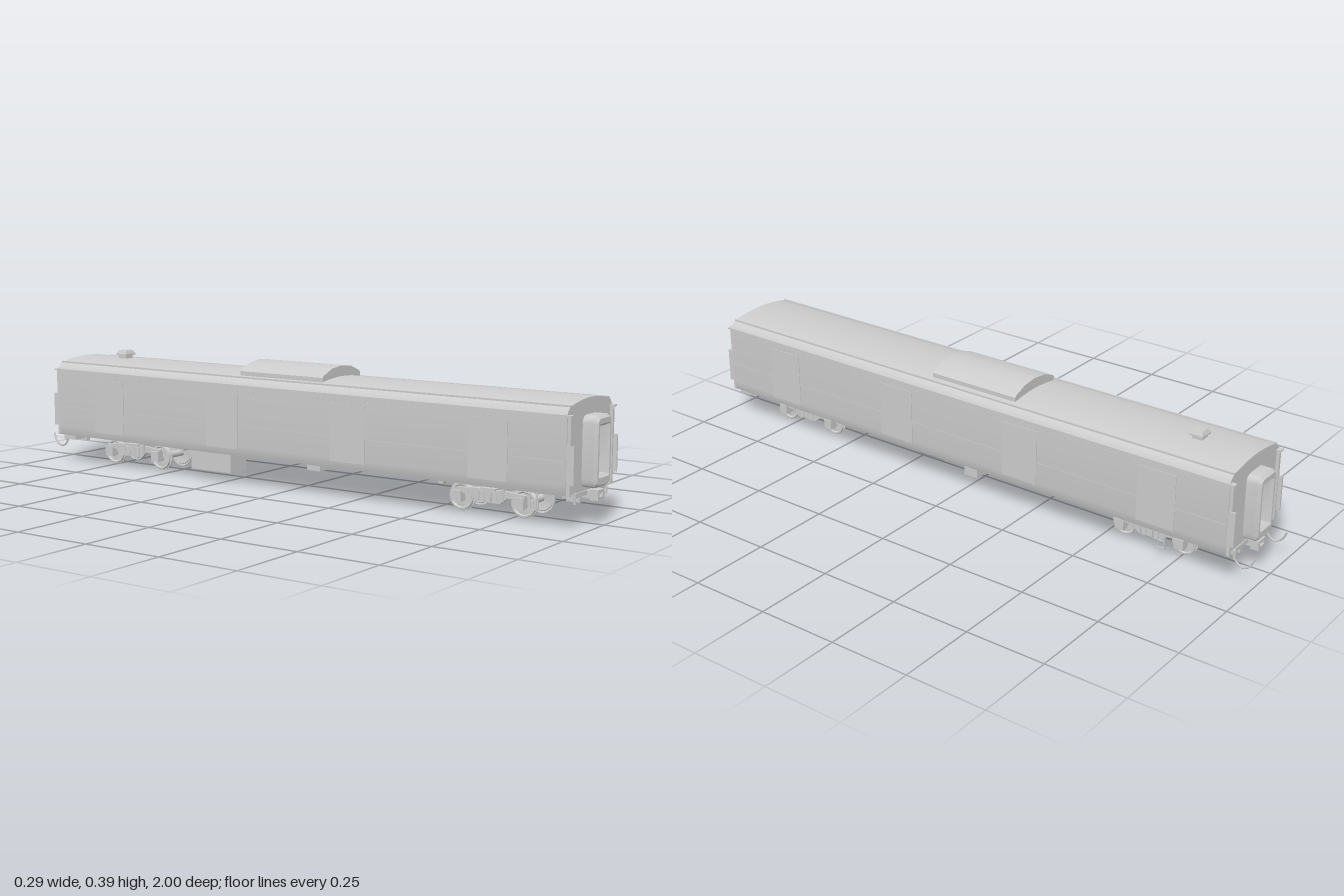
import * as THREE from 'three';
import { toCreasedNormals, mergeGeometries } from 'three/addons/utils/BufferGeometryUtils.js';

const grey = new THREE.MeshStandardMaterial({ color: 0xcccccc });
const thin = new THREE.MeshStandardMaterial({ color: 0xcccccc, side: THREE.DoubleSide });
const FRONT = 0.95, BACK = -0.927, MID = (FRONT + BACK) / 2, LEN = FRONT - BACK;

function add(parent, name, geo, x = 0, y = 0, z = 0, mat = grey) {
  const m = new THREE.Mesh(geo, mat);
  m.name = name;
  m.position.set(x, y, z);
  parent.add(m);
  return m;
}

// Box given by its limits on each axis
function box(parent, name, x0, x1, y0, y1, z0, z1) {
  return add(parent, name, new THREE.BoxGeometry(x1 - x0, y1 - y0, z1 - z0),
    (x0 + x1) / 2, (y0 + y1) / 2, (z0 + z1) / 2);
}

// Symmetric cross-section from its right half (bottom to top), run along z
function section(half, z0, z1, crease = 0.45) {
  const left = half.filter(p => p[0] > 0).map(([x, y]) => [-x, y]).reverse();
  const shape = new THREE.Shape([...half, ...left].map(p => new THREE.Vector2(...p)));
  const geo = new THREE.ExtrudeGeometry(shape, { depth: z1 - z0, bevelEnabled: false });
  geo.translate(0, 0, z0);
  return toCreasedNormals(geo, crease);
}

function rod(r, len, axis, sides = 16) {
  const g = new THREE.CylinderGeometry(r, r, len, sides);
  if (axis === 'x') g.rotateZ(Math.PI / 2);
  if (axis === 'z') g.rotateX(Math.PI / 2);
  return g;
}

function tube(points, r) {
  const curve = new THREE.CatmullRomCurve3(points.map(p => new THREE.Vector3(...p)));
  return new THREE.TubeGeometry(curve, 20, r, 6);
}

function roundedRect(target, w, y0, y1, r) {
  target.moveTo(-w + r, y0);
  target.lineTo(w - r, y0); target.quadraticCurveTo(w, y0, w, y0 + r);
  target.lineTo(w, y1 - r); target.quadraticCurveTo(w, y1, w - r, y1);
  target.lineTo(-w + r, y1); target.quadraticCurveTo(-w, y1, -w, y1 - r);
  target.lineTo(-w, y0 + r); target.quadraticCurveTo(-w, y0, -w + r, y0);
  return target;
}

// Open frame of the gangway, facing +z
function gangway() {
  const shape = roundedRect(new THREE.Shape(), 0.04, 0.115, 0.3, 0.014);
  shape.holes.push(roundedRect(new THREE.Path(), 0.033, 0.135, 0.285, 0.008));
  const g = new THREE.ExtrudeGeometry(shape, {
    depth: 0.034, bevelThickness: 0.01, bevelSize: 0.008, bevelSegments: 1, curveSegments: 4,
  });
  return toCreasedNormals(g, 0.4);
}

// One end of the car, built facing +z from its end wall at z = 0
function carEnd(name) {
  const g = new THREE.Group();
  g.name = name;
  add(g, 'gangwayFrame', gangway(), 0, 0, 0.002);
  box(g, 'endDoor', -0.034, 0.034, 0.125, 0.295, 0, 0.018);
  box(g, 'bufferBeam', -0.1, 0.1, 0.083, 0.096, -0.03, 0.003);
  for (const s of [-1, 1]) {
    box(g, 'cornerPost', s * 0.132 - 0.0045, s * 0.132 + 0.0045, 0.096, 0.318, 0, 0.01);
    box(g, 'gutterEnd', s * 0.134 - 0.009, s * 0.134 + 0.009, 0.313, 0.318, -0.004, 0.014);
    box(g, 'cornerPlate', s * 0.136 - 0.003, s * 0.136 + 0.003, 0.128, 0.235, 0, 0.022);
    box(g, 'couplerBracket', s * 0.045 - 0.008, s * 0.045 + 0.008, 0.066, 0.096, -0.04, 0);
    add(g, 'endPipe', rod(0.004, 0.03, 'y', 8), s * 0.1, 0.085, 0.008);
  }
  box(g, 'endStep', 0.073, 0.118, 0.079, 0.096, -0.05, 0);
  // Coupler head with a slot in its face
  const head = new THREE.Shape([[-0.02, 0.07], [0.02, 0.07], [0.02, 0.1], [-0.02, 0.1]].map(p => new THREE.Vector2(...p)));
  head.holes.push(new THREE.Path([[-0.012, 0.08], [0.012, 0.08], [0.012, 0.091], [-0.012, 0.091]].map(p => new THREE.Vector2(...p))));
  add(g, 'couplerHead', new THREE.ExtrudeGeometry(head, { depth: 0.025, bevelEnabled: false }), 0, 0, 0.015);
  box(g, 'couplerShank', -0.014, 0.014, 0.074, 0.096, -0.06, 0.018);
  return g;
}

// Two-axle truck centred on its own origin
function bogie(name) {
  const g = new THREE.Group();
  g.name = name;
  const profile = [[0.001, -0.006], [0.036, -0.006], [0.038, -0.004], [0.043, -0.006], [0.043, -0.002],
    [0.039, 0], [0.038, 0.006], [0.034, 0.006], [0.031, 0.002], [0.014, 0.002], [0.012, 0.006], [0.001, 0.006]];
  const wheel = toCreasedNormals(new THREE.LatheGeometry(profile.map(p => new THREE.Vector2(...p)), 28), 0.5);
  for (const z of [-0.1, 0.1]) {
    add(g, 'axle', rod(0.011, 0.17, 'x'), 0, 0.045, z);
    for (const s of [-1, 1]) {
      add(g, 'wheel', wheel, s * 0.054, 0.044, z, thin).rotation.z = -s * Math.PI / 2;
      box(g, 'axleBox', s * 0.077 - 0.012, s * 0.077 + 0.012, 0.033, 0.066, z - 0.015, z + 0.015);
    }
  }
  // Side frame: drooping bar between the axle boxes
  const bar = new THREE.Shape([[-0.115, 0.06], [-0.06, 0.058], [-0.038, 0.04], [0.038, 0.04], [0.06, 0.058],
    [0.115, 0.06], [0.115, 0.072], [0.055, 0.078], [-0.055, 0.078], [-0.115, 0.072]].map(p => new THREE.Vector2(...p)));
  const frame = new THREE.ExtrudeGeometry(bar, { depth: 0.012, bevelEnabled: false });
  frame.rotateY(Math.PI / 2).translate(-0.006, 0, 0);
  for (const s of [-1, 1]) {
    add(g, 'sideFrame', frame, s * 0.076);
    for (const z of [-0.02, 0.02]) add(g, 'spring', rod(0.011, 0.03, 'y', 12), s * 0.08, 0.058, z);
    add(g, 'damper', rod(0.004, 0.04, 'y', 8), s * 0.088, 0.07, 0.05);
  }
  box(g, 'bolster', -0.085, 0.085, 0.06, 0.082, -0.024, 0.024);
  add(g, 'pivot', rod(0.035, 0.018, 'y', 20), 0, 0.088, 0);
  return g;
}

export function createModel() {
  const car = new THREE.Group();
  car.name = 'baggageCar';

  // Shell with arched roof
  add(car, 'bodyShell', section([[0.133, 0.096], [0.137, 0.108], [0.14, 0.126], [0.14, 0.318], [0.135, 0.327],
    [0.127, 0.335], [0.117, 0.34], [0.09, 0.3455], [0.06, 0.35], [0.03, 0.3525], [0, 0.3535]], BACK, FRONT));
  add(car, 'roofHatch', section([[0.1, 0.335], [0.1, 0.357], [0.094, 0.363], [0.052, 0.38], [0, 0.386]], -0.185, 0.125, 0.3));

  // Roof vent
  box(car, 'ventNeck', -0.016, 0.016, 0.35, 0.368, -0.766, -0.734);
  const cap = new THREE.CylinderGeometry(0.024, 0.032, 0.012, 4).rotateY(Math.PI / 4).toNonIndexed();
  cap.computeVertexNormals();
  add(car, 'ventCap', cap, 0, 0.374, -0.75);
  box(car, 'ventRim', -0.0225, 0.0225, 0.364, 0.369, -0.7725, -0.7275);

  // Side details, mirrored
  for (const s of [-1, 1]) {
    const side = new THREE.Group();
    side.name = s > 0 ? 'leftSide' : 'rightSide';
    car.add(side);
    const strip = (name, x0, x1, y0, y1, z0, z1) =>
      box(side, name, Math.min(s * x0, s * x1), Math.max(s * x0, s * x1), y0, y1, z0, z1);
    strip('gutter', 0.134, 0.143, 0.314, 0.319, BACK, FRONT);
    strip('roofRib', 0.115, 0.121, 0.338, 0.343, BACK, FRONT);
    strip('beltLine', 0.139, 0.1408, 0.19, 0.193, BACK, FRONT);
    for (const z of [0.71, 0.24, -0.23, -0.7]) strip('slidingDoor', 0.137, 0.1418, 0.118, 0.292, z - 0.062, z + 0.062);
    const rivets = [];
    for (let z = BACK + 0.02; z < FRONT - 0.01; z += 0.02) {
      rivets.push(new THREE.BoxGeometry(0.002, 0.003, 0.004).translate(s * 0.1404, 0.299, z));
    }
    add(side, 'rivetRow', mergeGeometries(rivets));
    // Hanging step
    const zs = s > 0 ? -0.72 : 0.85;
    for (const d of [-0.01, 0.01]) strip('stepHanger', 0.131, 0.134, 0.048, 0.1, zs + d - 0.0015, zs + d + 0.0015);
    for (const y of [0.048, 0.07]) strip('stepRung', 0.131, 0.134, y, y + 0.003, zs - 0.01, zs + 0.01);
    // Brake hose at the back
    add(car, 'brakeHose', tube([[s * 0.094, 0.09, BACK], [s * 0.094, 0.064, -0.938], [s * 0.095, 0.05, -0.957],
      [s * 0.098, 0.06, -0.98], [s * 0.094, 0.09, -0.997]], 0.003));
  }

  // Ends
  const front = carEnd('frontEnd');
  front.position.z = FRONT;
  const back = carEnd('backEnd');
  back.position.z = BACK;
  back.rotation.y = Math.PI;
  car.add(front, back);

  // Running gear
  for (const [name, z] of [['frontBogie', 0.682], ['backBogie', -0.652]]) {
    const b = bogie(name);
    b.position.z = z;
    car.add(b);
  }

  // Equipment under the floor
  box(car, 'batteryBox', -0.103, -0.025, 0.031, 0.097, -0.385, -0.225);
  box(car, 'equipmentBox', 0.045, 0.09, 0.04, 0.097, -0.036, 0.014);
  add(car, 'airTank', rod(0.021, 0.105, 'z', 20), 0.07, 0.074, 0.145);
  add(car, 'compressor', rod(0.011, 0.045, 'z'), 0.07, 0.083, 0.072);
  add(car, 'smallTank', rod(0.012, 0.06, 'z'), 0.01, 0.084, 0.05);
  for (const z of [0.505, -0.475]) {
    for (const x of [-0.03, 0.065]) add(car, 'brakeCylinder', rod(0.013, 0.03, 'x'), x, 0.083, z);
  }
  return car;
}
